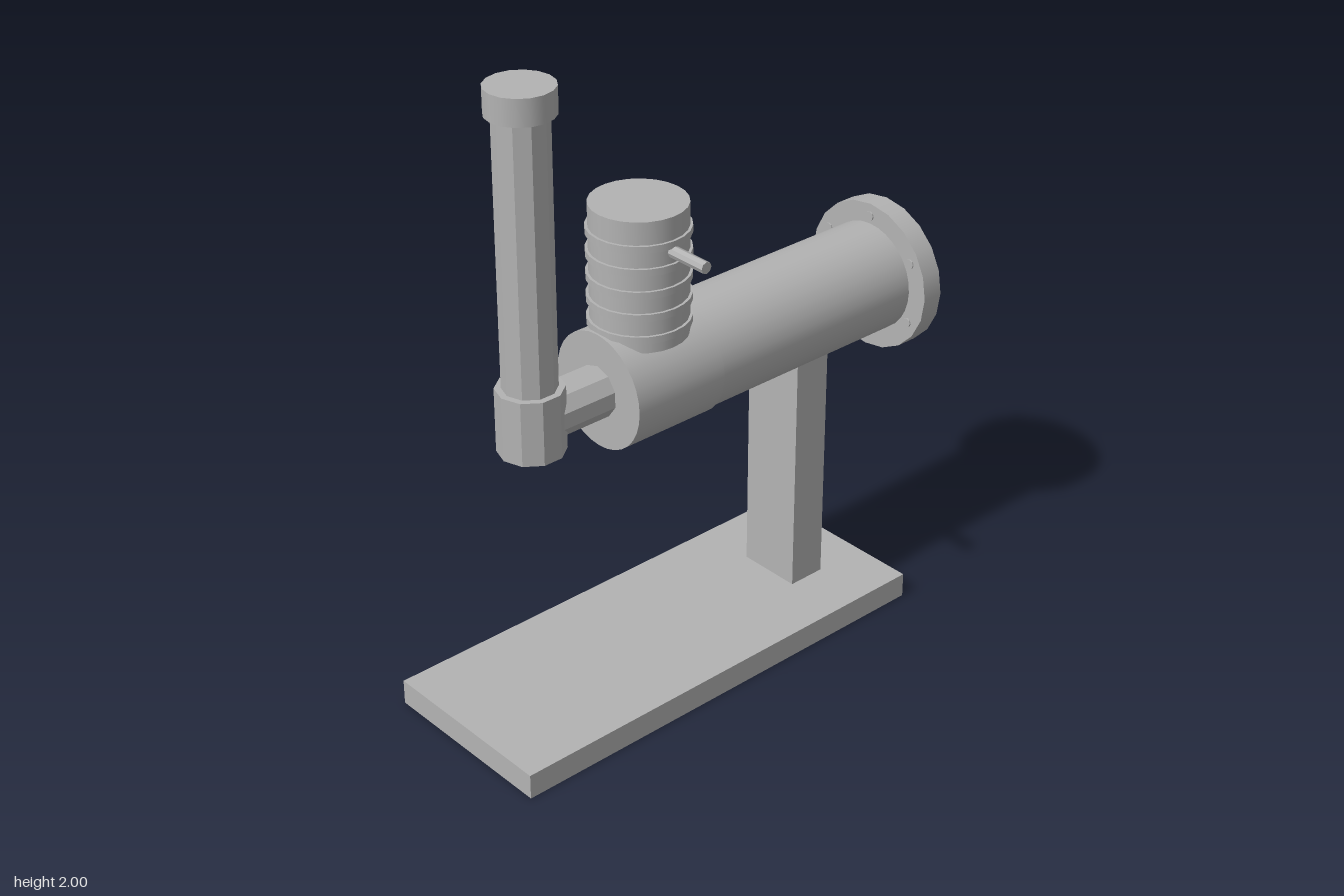
import * as THREE from 'three';

export function createModel() {
  const model = new THREE.Group();
  const grey = new THREE.MeshStandardMaterial({ color: 0xb3b3b3 });
  grey.name = 'plain grey';

  const add = (name, geometry, x, y, z) => {
    const mesh = new THREE.Mesh(geometry, grey);
    mesh.name = name;
    mesh.position.set(x, y, z);
    model.add(mesh);
    return mesh;
  };
  // Faceted tubes get flat normals, rounder ones stay smooth
  const cylinder = (r, length, sides) => {
    const g = new THREE.CylinderGeometry(r, r, length, sides);
    if (sides > 12) return g;
    const flat = g.toNonIndexed();
    flat.computeVertexNormals();
    return flat;
  };
  const upright = (name, r, y0, y1, z, sides) =>
    add(name, cylinder(r, y1 - y0, sides), 0, (y0 + y1) / 2, z);
  const along = (name, r, z0, z1, sides, x = 0, y = 1) => {
    const mesh = add(name, cylinder(r, z1 - z0, sides), x, y, (z0 + z1) / 2);
    mesh.rotation.x = Math.PI / 2;
    return mesh;
  };

  // Stand
  add('base', new THREE.BoxGeometry(0.6, 0.08, 1.515), 0, 0.04, 0.0865);
  add('post', new THREE.BoxGeometry(0.21, 0.81, 0.125), 0, 0.485, -0.432);

  // Horizontal body
  along('mainBarrel', 0.174, -0.78, 0.01, 32);
  along('frontSleeve', 0.18, 0, 0.322, 32);
  along('rearFlange', 0.24, -0.84, -0.77, 20);
  for (let i = 0; i < 6; i++) {
    const a = Math.PI / 6 + (i * Math.PI) / 3;
    along('flangeBolt', 0.015, -0.845, -0.765, 8, 0.2 * Math.cos(a), 1 + 0.2 * Math.sin(a));
  }

  // Ribbed upright chamber with side nozzle
  const chamberZ = 0.164;
  upright('chamber', 0.144, 1.14, 1.545, chamberZ, 24);
  for (let i = 0; i < 5; i++) {
    const y = 1.184 + i * 0.07;
    upright('coolingRing', 0.152, y - 0.011, y + 0.011, chamberZ, 24);
  }
  const nozzle = add('sideNozzle', cylinder(0.018, 0.18, 8), 0.19, 1.44, chamberZ);
  nozzle.rotation.z = Math.PI / 2;

  // Front pipework
  const pipeZ = 0.565;
  along('connectingPipe', 0.079, 0.3, pipeZ, 10);
  upright('pipeSocket', 0.1, 0.905, 1.105, pipeZ, 10);
  upright('standPipe', 0.08, 1.1, 1.93, pipeZ, 10);
  upright('pipeCap', 0.1, 1.92, 2, pipeZ, 16);

  return model;
}
